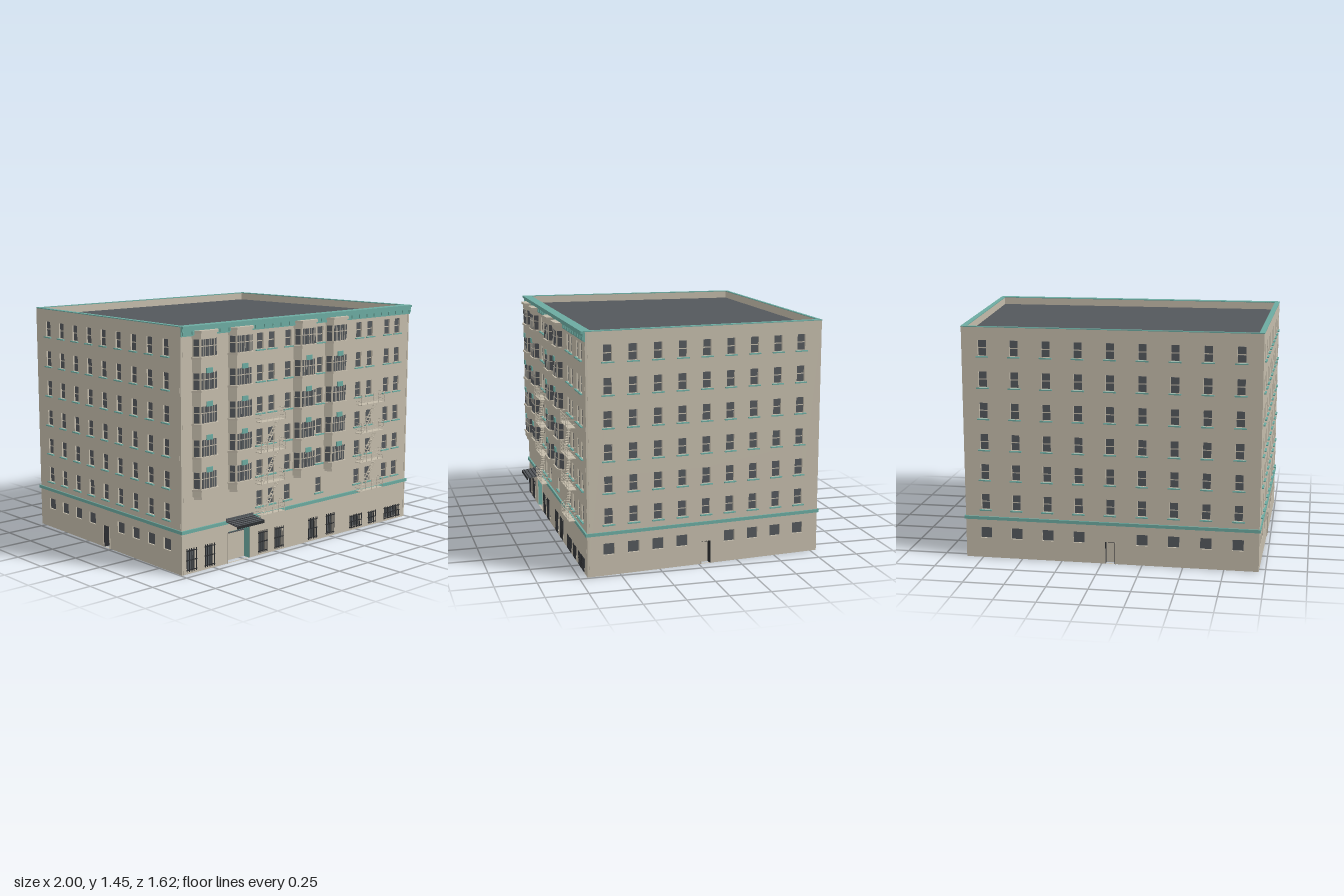
import * as THREE from 'three';

const material = (name, color, side = THREE.FrontSide) => {
  const m = new THREE.MeshStandardMaterial({ color, side });
  m.name = name;
  return m;
};
const stone = material('stone', 0xc4bcab, THREE.DoubleSide);
const teal = material('teal trim', 0x6caba1, THREE.DoubleSide);
const slate = material('slate and glass', 0x54585c, THREE.DoubleSide);
const iron = material('black iron', 0x2b2d30);

const HEIGHT = 1.45, ROOF = 1.4, FRONT = 0.7, SKIN = 0.012;
// Footprint corners as [x, z]: front left, front right, back right, back left of the plan
const PLAN = [[-0.993, FRONT], [0.988, FRONT], [0.855, -0.79], [-0.96, -0.8]];
const ROWS = [0.31, 0.5, 0.69, 0.885, 1.078, 1.27];

function add(parent, name, geometry, mat, x = 0, y = 0, z = 0) {
  const mesh = new THREE.Mesh(geometry, mat);
  mesh.name = name;
  mesh.position.set(x, y, z);
  parent.add(mesh);
  return mesh;
}
const box = (parent, name, mat, w, h, d, x, y, z) =>
  add(parent, name, new THREE.BoxGeometry(w, h, d), mat, x, y, z);

function group(parent, name, x = 0, y = 0, z = 0) {
  const g = new THREE.Group();
  g.name = name;
  g.position.set(x, y, z);
  parent.add(g);
  return g;
}

const polygon = (points, Kind = THREE.Shape) => new Kind(points.map(([x, y]) => new THREE.Vector2(x, y)));
const rect = (x0, x1, y0, y1, Kind) => polygon([[x0, y0], [x1, y0], [x1, y1], [x0, y1]], Kind);

// Extrudes a plan outline of [x, z] points upwards
function prism(points, h, hole) {
  const flip = (p) => p.map(([x, z]) => [x, -z]);
  const shape = polygon(flip(points));
  if (hole) shape.holes.push(polygon(flip(hole), THREE.Path));
  return new THREE.ExtrudeGeometry(shape, { depth: h, bevelEnabled: false }).rotateX(-Math.PI / 2);
}
const grow = (dx, front, back = front) => PLAN.map(([x, z]) =>
  [x + Math.sign(x) * dx, z > 0 ? z + front : z - back]);

// Sash window: two panes with a rail between them and a teal sill
const sash = (x, y) => ({ x, y, w: 0.052, h: 0.098, kind: 'sash' });
const plain = (x, y, w, h) => ({ x, y, w, h, kind: 'plain' });
const door = (x, w, h, jamb, depth) => ({ x, y: 0, w, h, kind: 'door', jamb, depth });

// Wall pierced by openings, with a plain lining behind the windows
function addWall(root, name, a, b, openings) {
  const dx = b[0] - a[0], dz = b[1] - a[1], length = Math.hypot(dx, dz);
  const g = group(root, name, a[0], 0, a[1]);
  g.rotation.y = Math.atan2(-dz, dx);
  const face = rect(0, length, 0, HEIGHT - 0.004), lining = rect(0, length, 0, HEIGHT - 0.004);
  for (const o of openings) {
    const args = [o.x - o.w / 2, o.x + o.w / 2, o.y, o.y + o.h, THREE.Path];
    face.holes.push(rect(...args));
    if (o.kind === 'door') lining.holes.push(rect(...args));
  }
  add(g, 'wallFace', new THREE.ExtrudeGeometry(face, { depth: SKIN, bevelEnabled: false }), stone, 0, 0, -SKIN);
  add(g, 'wallLining', new THREE.ShapeGeometry(lining), stone, 0, 0, -SKIN - 0.001);
  for (const o of openings) {
    const { x, y, w, h } = o;
    if (o.kind === 'sash') {
      for (const t of [0.25, 0.76])
        box(g, 'windowPane', slate, w - 0.004, h * 0.44, 0.004, x, y + h * t, -SKIN + 0.002);
      box(g, 'windowSill', teal, 0.076, 0.007, 0.016, x, y - 0.004, 0.004);
    } else if (o.kind === 'plain') {
      box(g, 'windowPane', slate, w - 0.003, h - 0.003, 0.004, x, y + h / 2, -SKIN + 0.002);
    } else {
      const d = o.depth;
      box(g, 'doorPanel', stone, w, h, 0.004, x, h / 2, -d);
      box(g, 'doorHead', o.jamb, w, 0.004, d, x, h, -d / 2);
      for (const s of [-1, 1]) {
        box(g, 'doorJamb', o.jamb, 0.004, h, d, x + s * w / 2, h / 2, -d / 2);
        box(g, 'doorFrame', stone, 0.006, h, 0.004, x + s * (w / 2 + 0.003), h / 2, 0.002);
      }
    }
  }
  return g;
}

// Side or back wall: nine evenly spaced columns, with a door in the middle of the ground floor
function serviceOpenings(length, first, step) {
  const list = [];
  for (let i = 0; i < 9; i++) {
    const x = first + i * step;
    ROWS.forEach((y) => list.push(sash(x, y)));
    if (i !== 4) list.push(plain(x, 0.125, 0.07, 0.07));
  }
  list.push(door(length / 2, 0.06, 0.14, iron, 0.04));
  return list;
}

// Bay window stack with canted sides
function addBay(root, x) {
  const g = group(root, 'bayWindow', x, 0, FRONT);
  const section = (name, y0, y1, hw, fw, d) =>
    add(g, name, prism([[-hw, 0], [-fw, d], [fw, d], [hw, 0]], y1 - y0), stone, 0, y0, 0);
  section('bayFoot', 0.438, 0.455, 0.084, 0.052, 0.036);
  const levels = ROWS.slice(1);
  const hw = 0.091, fw = 0.06, d = 0.038;
  levels.forEach((y, i) => {
    const below = i ? levels[i - 1] + 0.105 : 0.455;
    section('baySpandrel', below, y, hw + 0.003, fw + 0.001, d + 0.004);
    section('bayLedge', y - 0.012, y, hw + 0.007, fw + 0.004, d + 0.01);
    section('bayStorey', y, y + 0.105, hw, fw, d);
    for (const [px, w] of [[-0.04, 0.028], [0, 0.04], [0.04, 0.028]]) {
      box(g, 'bayPane', slate, w, 0.054, 0.005, px, y + 0.031, d + 0.001);
      box(g, 'bayPane', slate, w, 0.036, 0.005, px, y + 0.082, d + 0.001);
      box(g, 'bayMullion', stone, 0.004, 0.1, 0.006, px, y + 0.05, d + 0.002);
    }
    for (const s of [-1, 1]) for (const [py, h] of [[0.031, 0.054], [0.082, 0.036]]) {
      const pane = box(g, 'baySidePane', slate, 0.032, h, 0.005, s * (hw + fw) / 2, y + py, d / 2);
      pane.rotation.y = s * Math.atan2(d, hw - fw);
    }
    if (i < 4) box(g, 'bayPlaque', teal, 0.046, 0.03, 0.008, 0, y + 0.113, d + 0.006);
  });
  section('bayHead', 1.375, 1.405, hw + 0.003, fw + 0.001, d + 0.004);
  section('bayCap', 1.405, 1.42, hw + 0.007, fw + 0.005, d + 0.012);
}

// Iron escape: balconies with rails, joined by stairs
function addFireEscape(root, x0, x1) {
  const g = group(root, 'fireEscape', 0, 0, FRONT);
  const levels = [0.262, 0.455, 0.648, 0.835], w = x1 - x0, cx = (x0 + x1) / 2, depth = 0.05, t = 0.004;
  levels.forEach((y, i) => {
    box(g, 'balconyFloor', stone, w, t, depth, cx, y, depth / 2);
    for (const h of [0.022, 0.045, 0.068]) {
      box(g, 'balconyRail', stone, w, t * 0.7, t * 0.7, cx, y + h, depth);
      for (const x of [x0, x1]) box(g, 'balconyEndRail', stone, t * 0.7, t * 0.7, depth, x, y + h, depth / 2);
    }
    for (let k = 0; k <= 4; k++)
      box(g, 'balconyPost', stone, t * 0.7, 0.07, t * 0.7, x0 + w * k / 4, y + 0.035, depth);
    if (i === 3) return;
    const rise = levels[i + 1] - y, run = 0.14, sx = x0 + 0.025;
    for (const z of [0.016, 0.04]) {
      const stringer = box(g, 'stairStringer', stone, Math.hypot(rise, run), 0.006, t * 0.6, sx + run / 2, y + rise / 2, z);
      stringer.rotation.z = Math.atan2(rise, run);
    }
    for (let k = 1; k < 10; k++)
      box(g, 'stairTread', stone, 0.016, 0.003, 0.026, sx + run * k / 10, y + rise * k / 10, 0.028);
  });
}

// Security bars over a street window
function addGrille(root, x0, x1, y1) {
  const g = group(root, 'windowGrille', 0, 0, FRONT + 0.008);
  const y0 = 0.015, w = x1 - x0, n = Math.round(w / 0.016);
  for (let k = 0; k <= n; k++)
    box(g, 'upright', iron, 0.004, y1 - y0, 0.004, x0 + w * k / n, (y0 + y1) / 2, 0);
  for (const f of [0.08, 0.5, 0.9])
    box(g, 'crossBar', iron, w + 0.01, 0.005, 0.005, (x0 + x1) / 2, y0 + (y1 - y0) * f, 0);
}

export function createModel() {
  const root = new THREE.Group();
  root.name = 'apartmentBuilding';

  // Front wall with flat windows, street windows and the entrance
  const left = PLAN[0][0], front = [];
  for (const x of [-0.377, -0.281, -0.142, 0.137, 0.495, 0.602, 0.768, 0.87])
    ROWS.forEach((y) => front.push(sash(x - left, y)));
  const street = [[-0.96, -0.89, 0.155], [-0.82, -0.75, 0.155], [-0.388, -0.32, 0.155], [-0.25, -0.18, 0.155],
    [0.047, 0.12, 0.155], [0.21, 0.28, 0.155], [0.435, 0.545, 0.105], [0.615, 0.685, 0.1], [0.775, 0.925, 0.1]];
  for (const [x0, x1, y1] of street) {
    front.push(plain((x0 + x1) / 2 - left, 0.02, x1 - x0 - 0.016, y1 - 0.03));
    addGrille(root, x0, x1, y1);
  }
  const entryX = -0.548;
  front.push(door(entryX - left, 0.18, 0.195, teal, 0.05));
  addWall(root, 'frontWall', PLAN[0], PLAN[1], front);
  box(root, 'entranceTransom', slate, 0.17, 0.026, 0.006, entryX, 0.18, FRONT - 0.046);

  // Side and back walls
  addWall(root, 'leftWall', PLAN[1], PLAN[2], serviceOpenings(1.496, 0.133, 0.1535));
  addWall(root, 'backWall', PLAN[2], PLAN[3], serviceOpenings(1.815, 0.128, 0.195));
  addWall(root, 'rightWall', PLAN[3], PLAN[0], serviceOpenings(1.5, 0.136, 0.1535));

  // Roof, parapet and belt course
  const inner = grow(-0.03, -0.035, -0.018);
  add(root, 'roof', prism(grow(-0.014, -0.014), 0.004), slate, 0, ROOF - 0.004, 0);
  add(root, 'parapet', prism(grow(-0.013, -0.013), HEIGHT - ROOF - 0.004, inner), stone, 0, ROOF, 0);
  add(root, 'parapetCap', prism(grow(0.002, 0.002), 0.005, inner), teal, 0, HEIGHT - 0.005, 0);
  add(root, 'beltCourse', prism(grow(0.007, 0.01), 0.02, grow(-0.004, -0.004)), teal, 0, 0.246, 0);

  // Front cornice with brackets
  const cornice = group(root, 'cornice', 0, 0, FRONT);
  const bar = (h, d, y) => box(cornice, 'corniceMoulding', teal, 1.982, h, d, -0.002, y, d / 2);
  bar(0.028, 0.008, 1.404);
  bar(0.018, 0.013, 1.427);
  bar(0.014, 0.024, 1.443);
  for (let i = 0; i < 29; i++)
    box(cornice, 'corniceBracket', teal, 0.012, 0.02, 0.014, -0.98 + i * 0.07, 1.408, 0.009);

  // Bays and fire escapes
  for (const x of [-0.816, -0.54, -0.003, 0.276]) addBay(root, x);
  addFireEscape(root, -0.41, -0.21);
  addFireEscape(root, 0.48, 0.7);

  // Ribbed canopy over the entrance
  const canopy = group(root, 'entranceCanopy', entryX, 0.262, FRONT + 0.008);
  box(canopy, 'canopyBack', slate, 0.22, 0.012, 0.006, 0, 0.014, 0.003);
  const slope = box(canopy, 'canopyRoof', slate, 0.22, 0.008, 0.1, 0, -0.004, 0.05);
  slope.rotation.x = 0.12;
  box(canopy, 'canopyEdge', iron, 0.22, 0.018, 0.005, 0, -0.016, 0.099);
  for (let k = 0; k < 4; k++)
    box(canopy, 'canopyRib', iron, 0.22, 0.004, 0.005, 0, 0.004 - k * 0.003, 0.02 + k * 0.023);
  return root;
}
